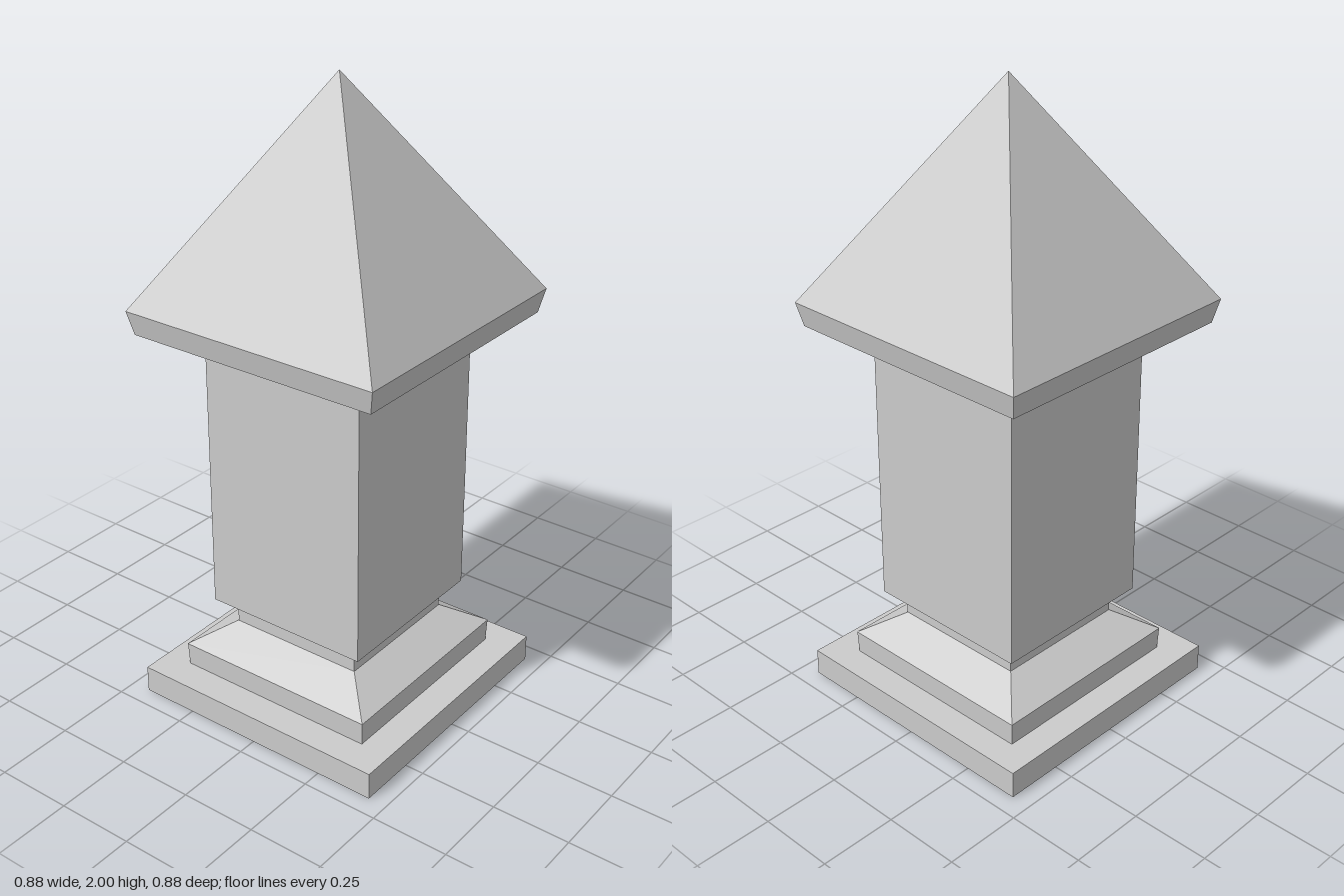
import * as THREE from 'three';

const material = new THREE.MeshStandardMaterial({ color: 0xcccccc, flatShading: true });

// Square block between two heights, with its own half-width at bottom and top
function squareBlock(name, y0, y1, halfBottom, halfTop, offset) {
  const height = y1 - y0;
  const geometry = new THREE.CylinderGeometry(
    halfTop * Math.SQRT2, halfBottom * Math.SQRT2, height, 4);
  geometry.rotateY(Math.PI / 4);
  const mesh = new THREE.Mesh(geometry, material);
  mesh.name = name;
  mesh.position.set(offset, y0 + height / 2, offset);
  return mesh;
}

export function createModel() {
  const model = new THREE.Group();
  model.name = 'stonePillar';
  model.add(
    // Stepped foot
    squareBlock('plinth', 0, 0.088, 0.438, 0.438, 0.001),
    squareBlock('baseStep', 0.088, 0.163, 0.341, 0.344, -0.002),
    squareBlock('baseSlope', 0.163, 0.237, 0.344, 0.228, -0.003),
    squareBlock('neck', 0.237, 0.32, 0.228, 0.228, -0.002),
    // Square column
    squareBlock('shaft', 0.32, 1.245, 0.279, 0.279, -0.005),
    // Flared eave and pyramid roof
    squareBlock('eave', 1.245, 1.32, 0.421, 0.437, -0.004),
    squareBlock('roof', 1.32, 2, 0.437, 0, -0.004),
  );
  return model;
}
